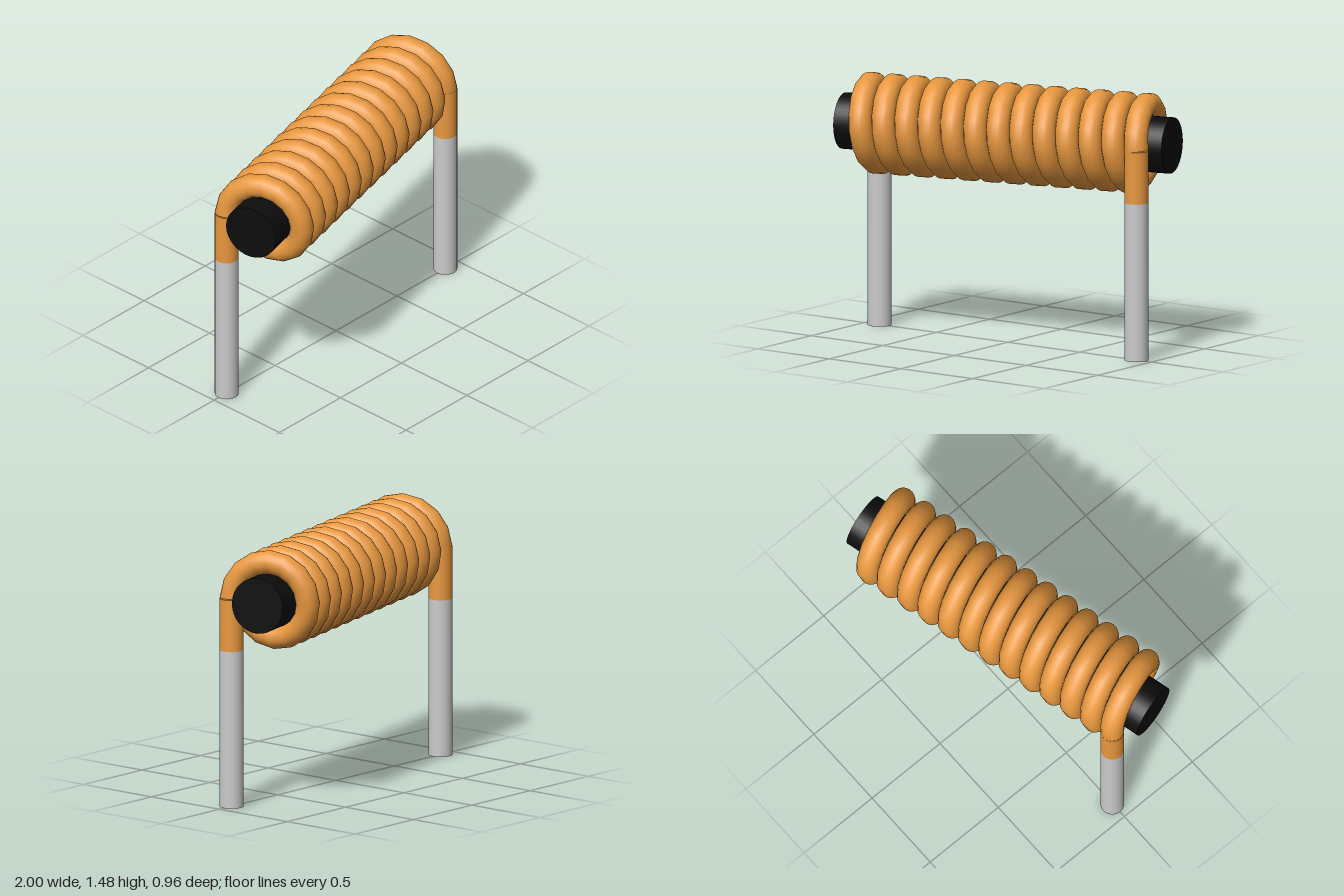
import * as THREE from 'three';

const AXIS_Y = 1.19;        // height of the core axis
const YAW = 0.2496;         // core is turned about y so both legs sit on z = 0
const LEG_X = 0.896;
const WIRE_R = 0.067;
const TURNS = 12.5;
const TIN_TOP = 0.895;      // bare metal below, copper above

// Helix along local x, starting at the back and finishing at the front
class Helix extends THREE.Curve {
  constructor(radius, halfLength, turns) {
    super();
    Object.assign(this, { radius, halfLength, turns });
  }
  getPoint(t, target = new THREE.Vector3()) {
    const a = t * this.turns * Math.PI * 2;
    return target.set(
      (2 * t - 1) * this.halfLength,
      this.radius * Math.sin(a),
      -this.radius * Math.cos(a)
    );
  }
}

export function createModel() {
  const model = new THREE.Group();
  model.name = 'rodInductor';

  const copper = new THREE.MeshStandardMaterial({ color: 0xe8983f });
  const ferrite = new THREE.MeshStandardMaterial({ color: 0x0d0d0d });
  const metal = new THREE.MeshStandardMaterial({ color: 0xcccccc });

  const add = (parent, name, geometry, material) => {
    const mesh = new THREE.Mesh(geometry, material);
    mesh.name = name;
    parent.add(mesh);
    return mesh;
  };

  // Rod core and winding share the tilted axis
  const body = new THREE.Group();
  body.name = 'woundCore';
  body.position.y = AXIS_Y;
  body.rotation.y = YAW;
  model.add(body);

  const core = add(body, 'core', new THREE.CylinderGeometry(0.158, 0.158, 1.984, 32), ferrite);
  core.rotation.z = Math.PI / 2;

  const helix = new Helix(LEG_X * Math.sin(YAW), LEG_X * Math.cos(YAW), TURNS);
  helix.arcLengthDivisions = 1000;
  add(body, 'winding', new THREE.TubeGeometry(helix, TURNS * 16, WIRE_R, 20), copper);

  // Straight legs: copper upper part, bare metal pin below
  for (const [side, s] of [['left', 1], ['right', -1]]) {
    const lead = AXIS_Y - TIN_TOP;
    add(model, side + 'Lead', new THREE.CylinderGeometry(WIRE_R, WIRE_R, lead, 24), copper)
      .position.set(s * LEG_X, TIN_TOP + lead / 2, 0);
    add(model, side + 'Pin', new THREE.CylinderGeometry(WIRE_R, WIRE_R, TIN_TOP, 24), metal)
      .position.set(s * LEG_X, TIN_TOP / 2, 0);
  }

  return model;
}
